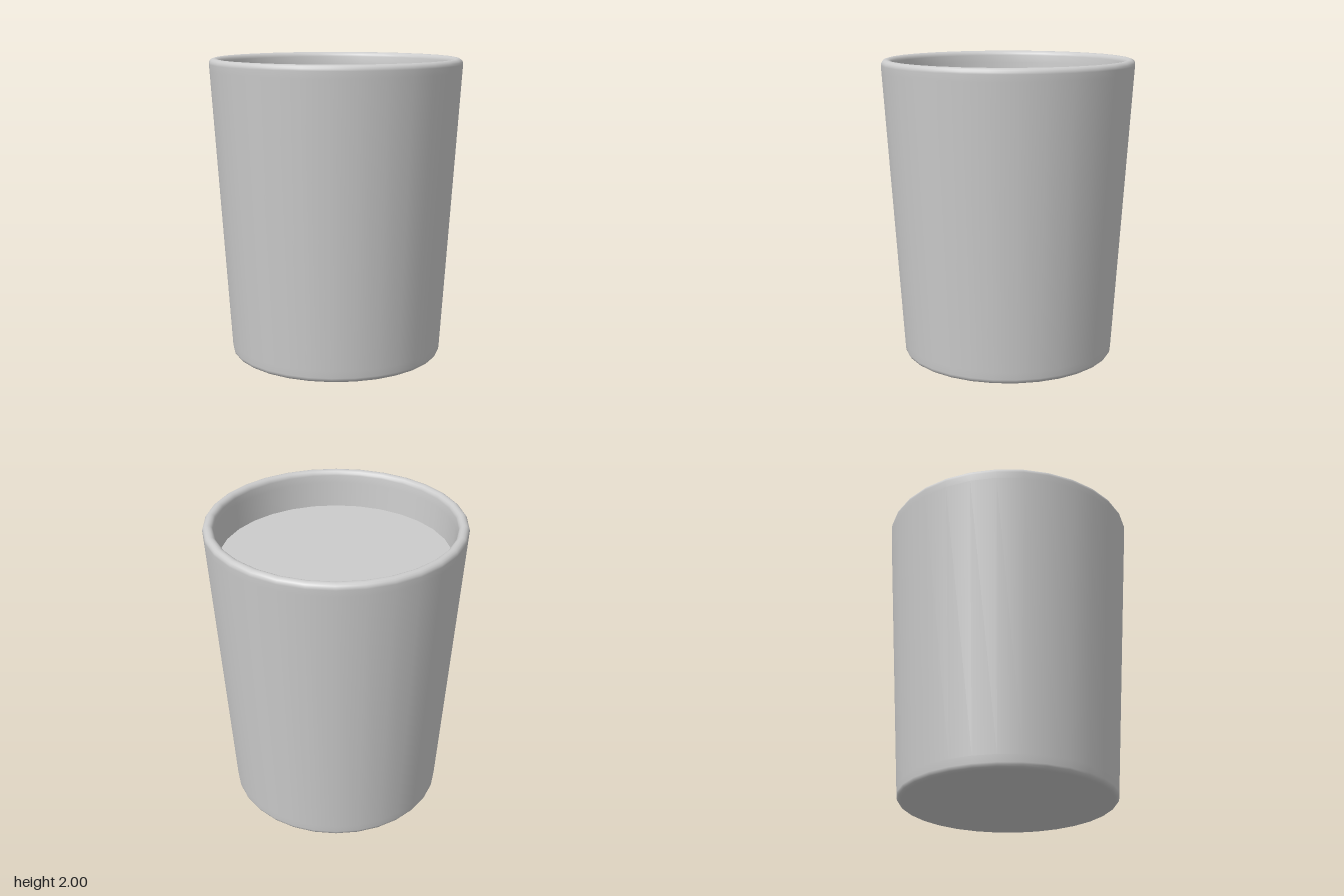
import * as THREE from 'three';

const SIDES = 30;
const FILL = 1.75; // height of the liquid surface

// Points on an arc of the profile, angles in degrees
function arc(cx, cy, r, from, to, steps) {
  const pts = [];
  for (let i = 0; i <= steps; i++) {
    const a = THREE.MathUtils.degToRad(from + (to - from) * i / steps);
    pts.push(new THREE.Vector2(cx + r * Math.cos(a), cy + r * Math.sin(a)));
  }
  return pts;
}

// Radius of the tapered inner wall at a given height
const innerRadius = (y) => 0.637 + 0.065 * y;

export function createModel() {
  const group = new THREE.Group();
  const material = new THREE.MeshStandardMaterial({ color: 0xcccccc });

  // Cup: base, rounded foot, tapered wall, rounded rim, inner wall and floor
  const profile = [
    new THREE.Vector2(0, 0),
    new THREE.Vector2(0.67, 0),
    ...arc(0.677, 0.035, 0.035, -90, -4, 4),
    new THREE.Vector2(0.715, 0.08),
    new THREE.Vector2(0.832, 1.92),
    ...arc(0.801, 1.966, 0.034, -4, 176, 8),
    new THREE.Vector2(innerRadius(1.92), 1.92),
    new THREE.Vector2(innerRadius(0.08), 0.08),
    new THREE.Vector2(innerRadius(0.08) - 0.005, 0.08),
    new THREE.Vector2(0, 0.08),
  ];
  const cup = new THREE.Mesh(new THREE.LatheGeometry(profile, SIDES, Math.PI / 2), material);
  cup.name = 'cup';
  group.add(cup);

  // Liquid surface inside the cup
  const liquid = new THREE.Mesh(new THREE.CircleGeometry(innerRadius(FILL), SIDES), material);
  liquid.name = 'liquidSurface';
  liquid.rotation.x = -Math.PI / 2;
  liquid.position.y = FILL;
  group.add(liquid);

  return group;
}
